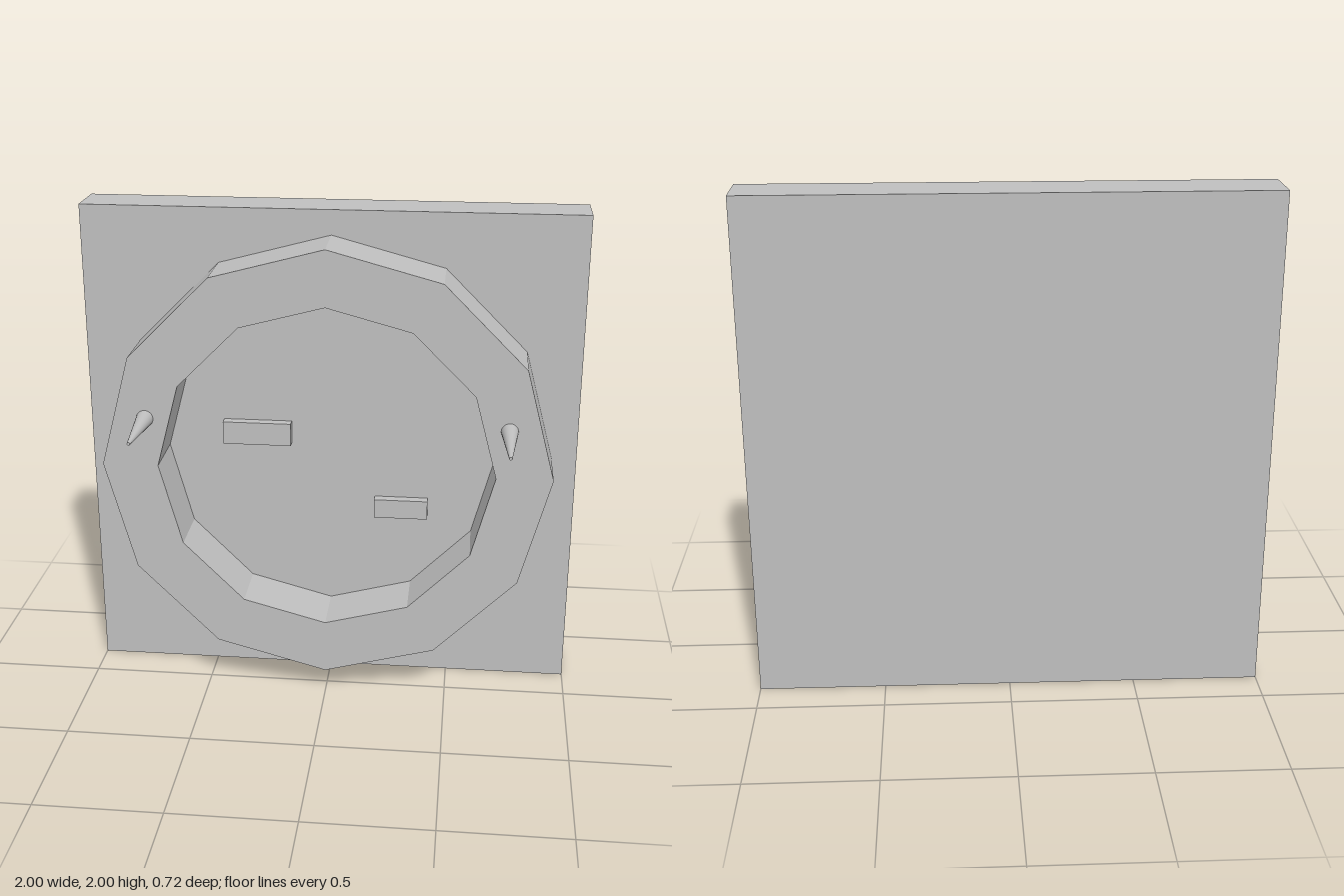
import * as THREE from 'three';

export function createModel() {
  const group = new THREE.Group();
  const gray = new THREE.MeshStandardMaterial({ color: 0xbfbfbf });
  gray.name = 'light gray';

  const backZ = -0.36, panelZ = -0.16, ringZ = 0.08, tipZ = 0.36, centreY = 1;

  const add = (name, geometry, x, y, z) => {
    const mesh = new THREE.Mesh(geometry, gray);
    mesh.name = name;
    mesh.position.set(x, y, z);
    group.add(mesh);
    return mesh;
  };

  // Square backing panel
  add('backPanel', new THREE.BoxGeometry(2, 2, panelZ - backZ), 0, centreY, (backZ + panelZ) / 2);

  // Twelve-sided raised ring
  const polygon = (radius) => Array.from({ length: 12 }, (_, i) => {
    const a = i * Math.PI / 6;
    return new THREE.Vector2(radius * Math.cos(a), radius * Math.sin(a));
  });
  const outline = new THREE.Shape(polygon(0.9));
  outline.holes.push(new THREE.Path(polygon(0.675)));
  const ring = new THREE.ExtrudeGeometry(outline, { depth: ringZ - panelZ, bevelEnabled: false });
  add('ring', ring, 0, centreY, panelZ);

  // Tapered spikes on both sides of the ring
  for (const [name, side] of [['leftSpike', 1], ['rightSpike', -1]]) {
    const spike = new THREE.CylinderGeometry(0.006, 0.034, tipZ - ringZ, 24);
    spike.rotateX(Math.PI / 2);
    add(name, spike, side * 0.72, 1.2, (ringZ + tipZ) / 2);
  }

  // Small bars on the recessed face
  const depth = 0.04;
  add('upperBar', new THREE.BoxGeometry(0.28, 0.095, depth), -0.303, 1.075, panelZ + depth / 2);
  add('lowerBar', new THREE.BoxGeometry(0.22, 0.08, depth), 0.293, 0.763, panelZ + depth / 2);

  return group;
}
